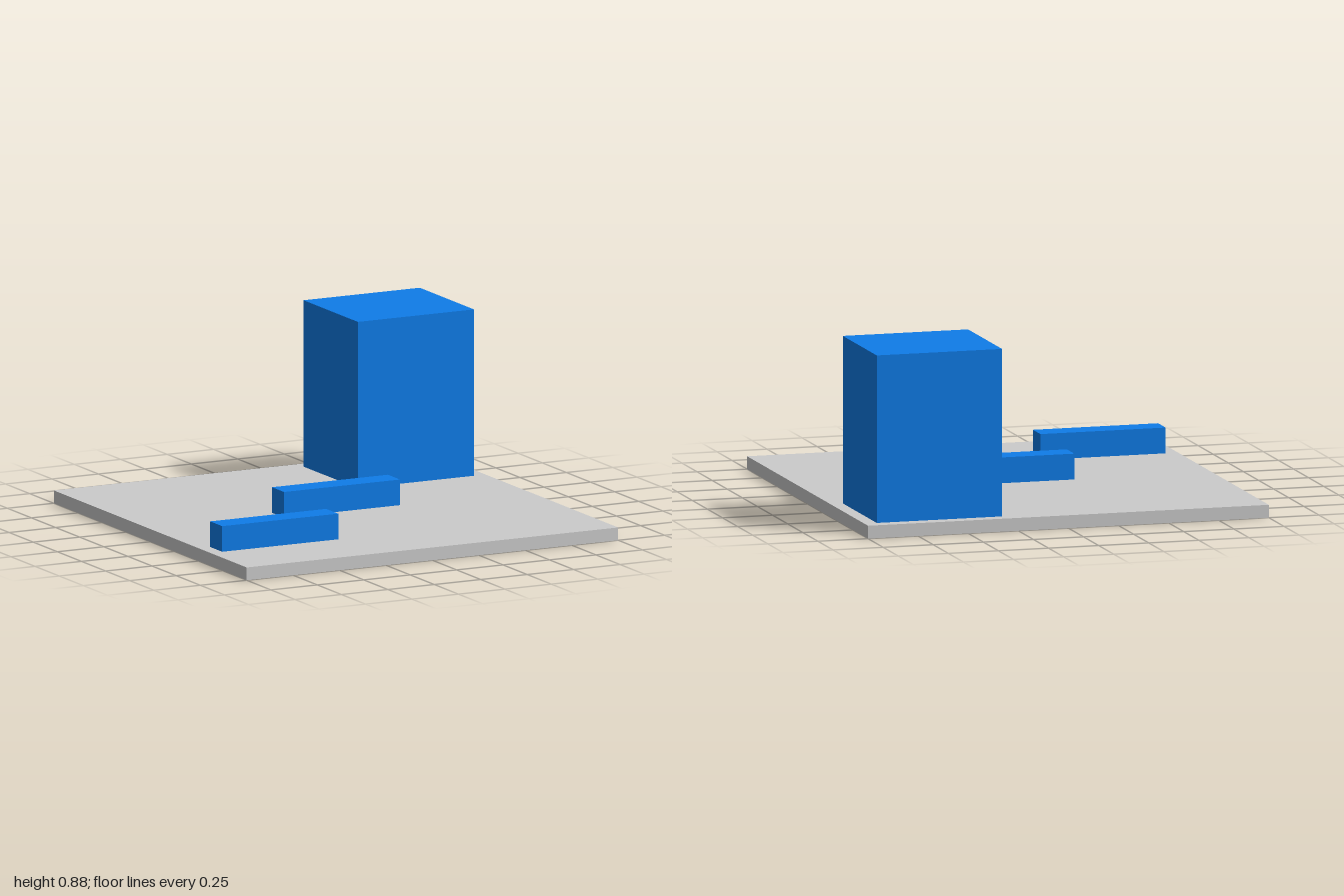
import * as THREE from 'three';

const grey = new THREE.MeshStandardMaterial({ color: 0xcccccc });
const blue = new THREE.MeshStandardMaterial({ color: 0x0f7ce8 });

// Box given by its lower and upper corners
function block(name, [x0, y0, z0], [x1, y1, z1], material) {
  const mesh = new THREE.Mesh(new THREE.BoxGeometry(x1 - x0, y1 - y0, z1 - z0), material);
  mesh.position.set((x0 + x1) / 2, (y0 + y1) / 2, (z0 + z1) / 2);
  mesh.name = name;
  return mesh;
}

export function createModel() {
  const model = new THREE.Group();
  model.name = 'blocksOnPlate';
  const top = 0.0625; // upper face of the plate

  model.add(
    // Square ground plate
    block('basePlate', [-1, 0, -1], [1, top, 1], grey),
    // Two low bars stepping back towards the tower
    block('frontBar', [-0.9375, top, 0.5], [-0.3125, 0.1875, 0.625], blue),
    block('middleBar', [-0.3125, top, -0.0625], [0.3125, 0.1875, 0.0625], blue),
    // Tall block in the back corner
    block('tower', [0.3125, top, -0.9375], [0.9375, 0.875, -0.375], blue),
  );
  return model;
}
